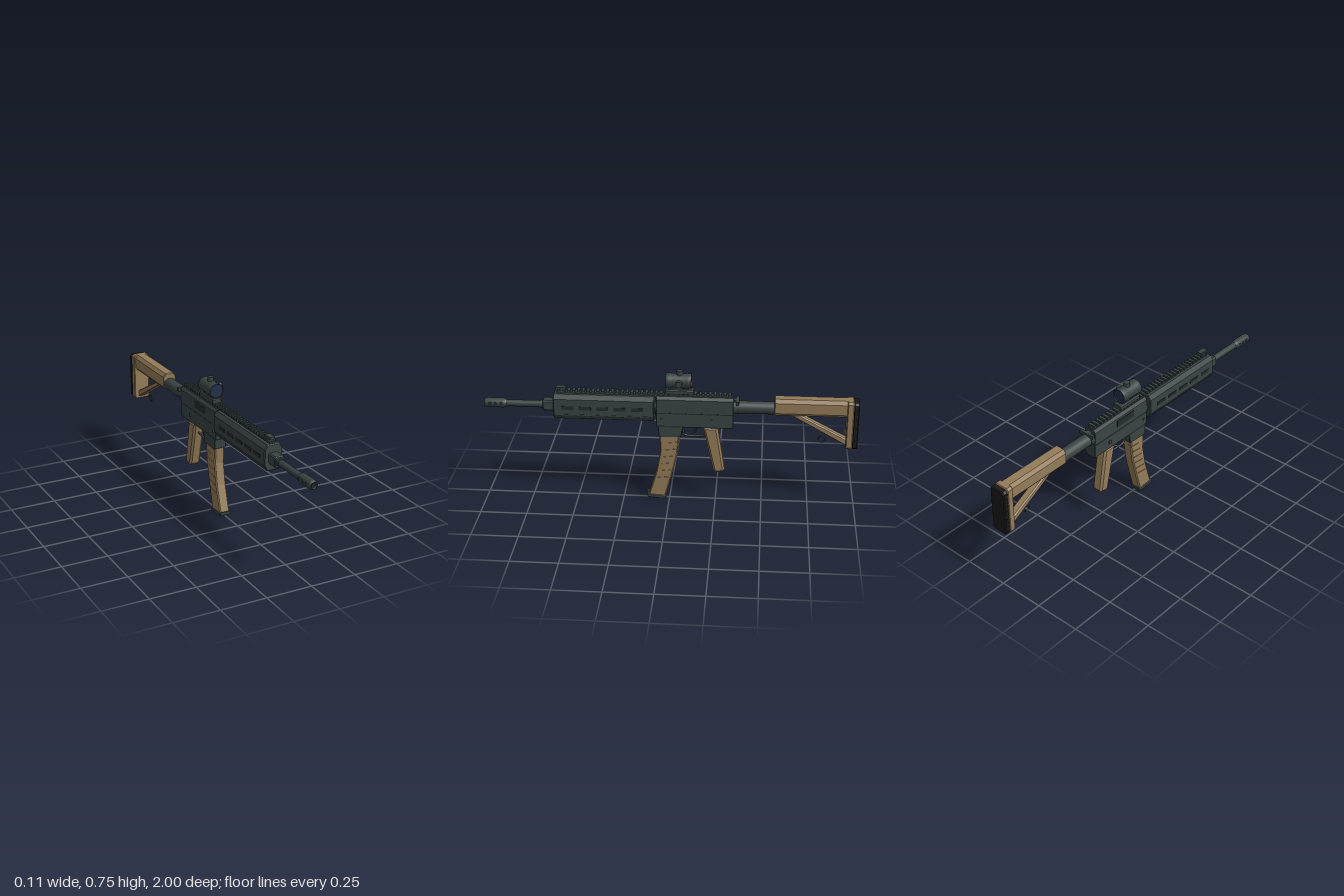
import * as THREE from 'three';

const mat = (name, color) => {
  const m = new THREE.MeshStandardMaterial({ color });
  m.name = name;
  return m;
};

export function createModel() {
  const metal = mat('gunmetal', 0x3a4343);
  const dark = mat('dark metal', 0x252a2b);
  const tan = mat('tan polymer', 0x947c59);
  const rubber = mat('black rubber', 0x1b1b1c);
  const glass = mat('blue glass', 0x222f4c);

  const root = new THREE.Group();
  root.name = 'rifle';
  const body = new THREE.Group();
  body.name = 'body';
  body.position.x = -0.004;
  root.add(body);

  const add = (name, geo, material, x = 0, y = 0, z = 0) => {
    const m = new THREE.Mesh(geo, material);
    m.name = name;
    m.position.set(x, y, z);
    body.add(m);
    return m;
  };
  // Box given by its centre x, width and its y and z ranges
  const box = (name, material, w, y0, y1, z0, z1, x = 0) =>
    add(name, new THREE.BoxGeometry(w, y1 - y0, z1 - z0), material, x, (y0 + y1) / 2, (z0 + z1) / 2);
  // Cylinder along z
  const rod = (name, material, r, y, z0, z1) =>
    add(name, new THREE.CylinderGeometry(r, r, z1 - z0, 28).rotateX(Math.PI / 2), material, 0, y, (z0 + z1) / 2);
  // Cylinder along x
  const pin = (name, material, r, len, x, y, z) =>
    add(name, new THREE.CylinderGeometry(r, r, len, 16).rotateZ(Math.PI / 2), material, x, y, z);
  // Solid of revolution about z from (radius, z) points, rear to front
  const turned = (name, material, pts, y) =>
    add(name, new THREE.LatheGeometry(pts.map(p => new THREE.Vector2(...p)), 28).rotateX(Math.PI / 2), material, 0, y, 0);
  const extrude = (pts, depth, bevel) => new THREE.ExtrudeGeometry(
    new THREE.Shape(pts.map(p => new THREE.Vector2(...p))), {
      depth: depth - 2 * bevel, bevelThickness: bevel,
      bevelSize: bevel, bevelOffset: -bevel, bevelSegments: 1,
    }).translate(0, 0, bevel - depth / 2);
  // Side profile of (z, y) points, given a width in x
  const slab = (name, material, pts, w, bevel) =>
    add(name, extrude(pts, w, bevel).rotateY(-Math.PI / 2), material);
  // Symmetric cross-section of (x, y) points, bottom to top, run along z
  const bar = (name, material, half, z0, z1, bevel) => {
    const pts = [...half, ...half.slice().reverse().map(([x, y]) => [-x, y])];
    return add(name, extrude(pts, z1 - z0, bevel), material, 0, 0, (z0 + z1) / 2);
  };

  // Muzzle brake, barrel and gas block
  const bore = 0.533;
  turned('muzzleBrake', metal, [[0.016, 0.875], [0.021, 0.88], [0.026, 0.895], [0.026, 0.985],
    [0.021, 0.998], [0.015, 1], [0.014, 0.985]], bore);
  rod('muzzleBore', dark, 0.0145, bore, 0.97, 0.988);
  for (const z of [0.965, 0.935, 0.905]) {
    pin('brakePort', dark, 0.009, 0.053, 0, bore + 0.003, z);
  }
  rod('barrel', metal, 0.018, bore, 0.6, 0.885);
  rod('barrelCollar', metal, 0.022, bore, 0.67, 0.695);
  bar('gasBlock', metal, [[0.021, 0.504], [0.028, 0.511], [0.028, 0.556], [0.021, 0.563]], 0.615, 0.68, 0.004);

  // Handguard with side slots
  bar('handguard', metal, [[0.034, 0.467], [0.051, 0.496], [0.051, 0.583], [0.034, 0.607]], 0.08, 0.62, 0.004);
  for (const s of [-1, 1]) {
    for (let i = 0; i < 5; i++) {
      box('handguardSlot', dark, 0.006, 0.526, 0.545, 0.51 - i * 0.093, 0.575 - i * 0.093, s * 0.0505);
    }
    box('handguardLowerRib', metal, 0.004, 0.492, 0.499, 0.1, 0.6, s * 0.0505);
  }
  rod('barrelNut', dark, 0.034, bore, 0.06, 0.09);

  // Top rail with teeth
  box('railBase', metal, 0.034, 0.6, 0.614, -0.335, 0.605);
  for (let z = 0.59; z > -0.335; z -= 0.026) {
    box('railTooth', metal, 0.044, 0.61, 0.624, z - 0.0075, z + 0.0075);
  }

  // Folded front sight
  box('frontSightBase', metal, 0.04, 0.614, 0.63, 0.56, 0.59);
  box('frontSightTop', metal, 0.03, 0.625, 0.638, 0.553, 0.607);

  // Receiver
  bar('upperReceiver', metal, [[0.036, 0.515], [0.036, 0.592], [0.024, 0.608]], -0.34, 0.07, 0.002);
  bar('lowerReceiver', metal, [[0.03, 0.434], [0.034, 0.44], [0.034, 0.517]], -0.34, 0.07, 0.002);
  box('receiverSeam', dark, 0.0735, 0.512, 0.517, -0.337, 0.067);
  slab('magazineWell', metal, [[0.062, 0.44], [0.058, 0.38], [0.048, 0.372], [-0.062, 0.376], [-0.075, 0.44]], 0.068, 0.003);
  box('ejectionPort', dark, 0.006, 0.543, 0.58, -0.17, -0.04, -0.035);
  for (const s of [-1, 1]) {
    pin('takedownPin', metal, 0.011, 0.008, s * 0.035, 0.477, -0.225);
    pin('pivotPin', metal, 0.007, 0.006, s * 0.035, 0.477, 0.045);
  }
  box('chargingHandle', metal, 0.09, 0.575, 0.594, -0.369, -0.352);
  box('chargingHandleStem', metal, 0.03, 0.575, 0.594, -0.36, -0.33);

  // Magazine, ribs and base plate
  slab('magazine', tan, [[0.055, 0.4], [0.05, 0.29], [0.071, 0.17], [0.114, 0.022],
    [0.022, 0.014], [-0.02, 0.17], [-0.042, 0.265], [-0.055, 0.4]], 0.058, 0.006);
  for (let i = 0; i < 6; i++) {
    const y = 0.13 + i * 0.042;
    const z = 0.036 - i * 0.0115;
    const rib = box('magazineRib', tan, 0.064, y - 0.003, y + 0.003, z - 0.03, z + 0.03);
    rib.rotation.x = 0.12;
  }
  slab('magazineBase', metal, [[0.121, 0.028], [0.118, 0.008], [0.02, 0], [0.014, 0.02]], 0.066, 0.003);

  // Pistol grip, trigger and guard
  slab('pistolGrip', tan, [[-0.18, 0.436], [-0.256, 0.436], [-0.262, 0.41], [-0.298, 0.19], [-0.291, 0.176],
    [-0.254, 0.168], [-0.237, 0.185]], 0.064, 0.011);
  const guard = new THREE.CatmullRomCurve3([[0.42, -0.07], [0.382, -0.078], [0.374, -0.1], [0.374, -0.165], [0.38, -0.192]]
    .map(([y, z]) => new THREE.Vector3(0, y, z)), false, 'catmullrom', 0.3);
  add('triggerGuard', new THREE.TubeGeometry(guard, 24, 0.006, 8), metal);
  const trigger = new THREE.QuadraticBezierCurve3(
    new THREE.Vector3(0, 0.44, -0.135), new THREE.Vector3(0, 0.41, -0.148), new THREE.Vector3(0, 0.39, -0.125));
  add('trigger', new THREE.TubeGeometry(trigger, 10, 0.006, 8), dark);

  // Stock tube
  rod('stockTube', metal, 0.034, 0.55, -0.88, -0.34);
  rod('stockTubeNut', metal, 0.037, 0.55, -0.365, -0.34);

  // Stock with triangular brace, end plate and rubber pad
  bar('stockBody', tan, [[0.026, 0.52], [0.038, 0.535], [0.038, 0.592], [0.024, 0.612]], -0.955, -0.555, 0.004);
  slab('stockBrace', tan, [[-0.635, 0.525], [-0.685, 0.525], [-0.95, 0.386], [-0.95, 0.347]], 0.044, 0.006);
  bar('stockEndPlate', tan, [[0.036, 0.34], [0.047, 0.352], [0.047, 0.6], [0.036, 0.612]], -0.972, -0.937, 0.004);
  bar('stockPad', rubber, [[0.037, 0.344], [0.047, 0.355], [0.047, 0.595], [0.037, 0.606]], -1, -0.97, 0.005);
  for (let i = 0; i < 10; i++) {
    const y = 0.365 + i * 0.0245;
    box('stockPadRidge', rubber, 0.097, y - 0.004, y + 0.004, -0.992, -0.974);
  }
  add('slingRing', new THREE.TorusGeometry(0.017, 0.004, 8, 24).rotateY(Math.PI / 2), metal, 0, 0.378, -0.812);

  // Optic: mount, tube, lenses and turrets
  const oy = 0.69;
  bar('opticMount', metal, [[0.022, 0.618], [0.027, 0.626], [0.027, 0.64], [0.022, 0.645]], -0.13, 0.022, 0.002);
  box('opticNeck', metal, 0.034, 0.64, 0.662, -0.1, 0.005);
  turned('opticTube', metal, [[0.037, -0.109], [0.037, -0.115], [0.041, -0.115], [0.041, -0.09], [0.039, -0.085],
    [0.039, -0.01], [0.041, -0.005], [0.041, 0.02], [0.037, 0.02], [0.037, 0.014]], oy);
  rod('frontLens', glass, 0.038, oy, 0.009, 0.0165);
  rod('rearLens', glass, 0.038, oy, -0.1115, -0.104);
  add('topTurret', new THREE.CylinderGeometry(0.017, 0.017, 0.03, 20), metal, 0, 0.733, -0.052);
  pin('sideTurret', metal, 0.017, 0.03, 0.046, oy, -0.052);

  return root;
}
